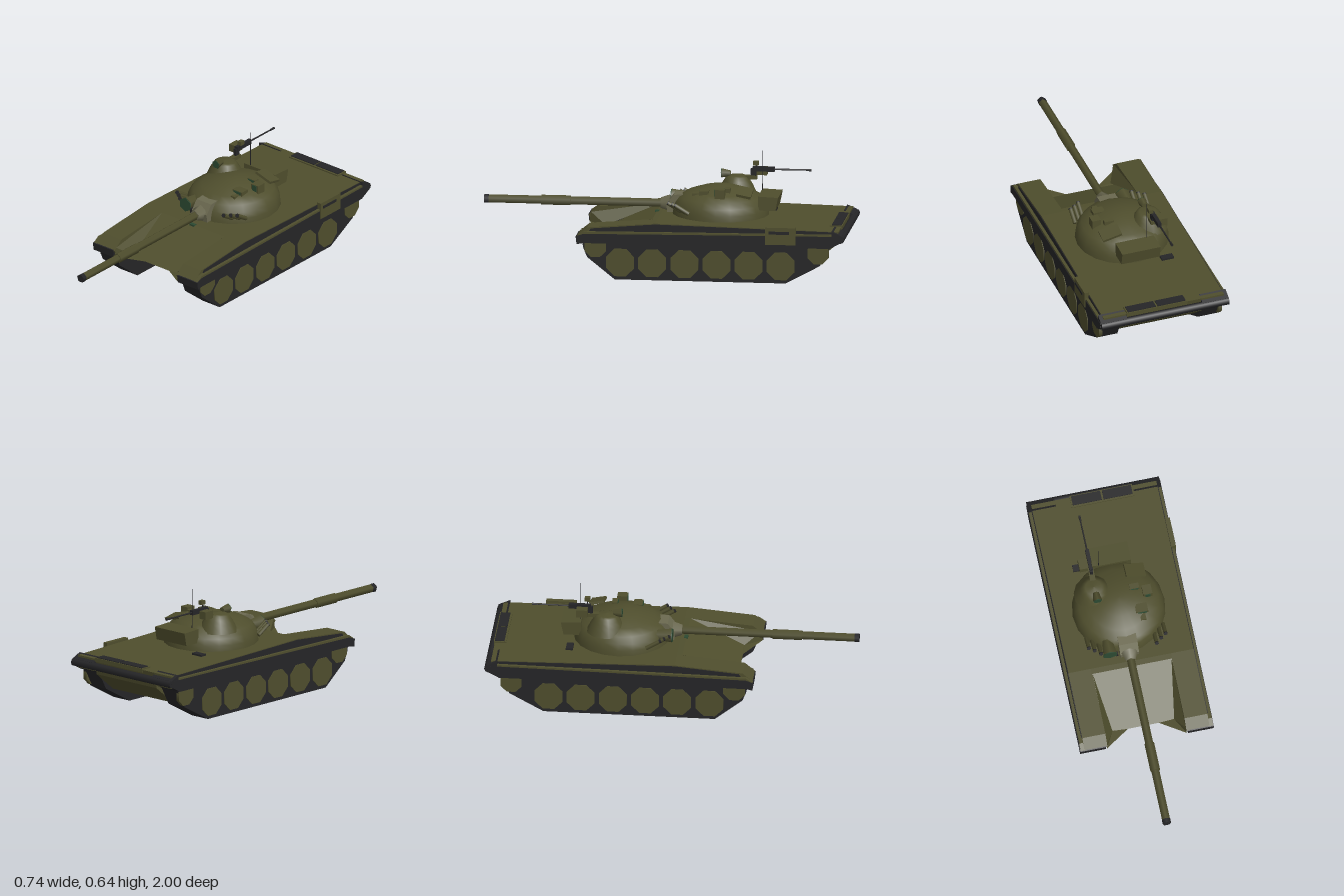
import * as THREE from 'three';

const mat = (name, color) => {
  const m = new THREE.MeshStandardMaterial({ color });
  m.name = name;
  return m;
};

export function createModel() {
  const olive = mat('olive', 0x4f4e2d);
  const dark = mat('charcoal', 0x252527);
  const khaki = mat('pale khaki', 0x6b6950);
  const green = mat('lens green', 0x2c4a32);
  const model = new THREE.Group();

  const add = (name, geo, material, parent = model) => {
    const m = new THREE.Mesh(geo, material);
    m.name = name;
    parent.add(m);
    return m;
  };
  // Side profile of [z, y] points, swept from xa to xb
  const prism = (name, pts, xa, xb, material) => {
    const shape = new THREE.Shape(pts.map(([z, y]) => new THREE.Vector2(z, y)));
    const geo = new THREE.ExtrudeGeometry(shape, { depth: Math.abs(xb - xa), bevelEnabled: false });
    geo.rotateY(-Math.PI / 2).translate(Math.max(xa, xb), 0, 0);
    return add(name, geo, material);
  };
  const box = (name, x, y, z, w, h, d, material) =>
    add(name, new THREE.BoxGeometry(w, h, d).translate(x, y, z), material);
  // Cylinder running along z, from z0 (radius r0) to z1 (radius r1), one corner up
  const rod = (name, x, y, z0, z1, r0, r1, sides, material) =>
    add(name, new THREE.CylinderGeometry(r1, r0, z1 - z0, sides, 1, false, Math.PI)
      .rotateX(Math.PI / 2).translate(x, y, (z0 + z1) / 2), material);
  const lathe = (pts, segments) =>
    new THREE.LatheGeometry(pts.map(([r, y]) => new THREE.Vector2(r, y)), segments);

  // Hull body with sloped nose and tail
  prism('hull', [[0.06, 0.31], [0.36, 0.177], [0.2, 0.095], [-0.82, 0.095],
    [-0.95, 0.2], [-0.965, 0.289], [0.03, 0.312]], -0.222, 0.222, olive);

  for (const s of [-1, 1]) {
    const side = s > 0 ? 'left' : 'right';
    // Fender, side wall, ledge and skirt
    prism(side + 'Fender', [[0.458, 0.235], [0.4, 0.282], [0.03, 0.312],
      [-0.965, 0.289], [-0.965, 0.22], [0.45, 0.22]], s * 0.218, s * 0.345, olive);
    prism(side + 'SideWall', [[0.39, 0.262], [0.38, 0.277], [0.03, 0.307],
      [-0.94, 0.287], [-0.96, 0.274]], s * 0.345, s * 0.349, dark);
    prism(side + 'Ledge', [[0.458, 0.236], [0.42, 0.262], [-0.1, 0.268], [-0.97, 0.276],
      [-0.97, 0.24], [0.4, 0.23]], s * 0.34, s * 0.365, olive);
    prism(side + 'Skirt', [[0.46, 0.236], [0.42, 0.25], [-0.1, 0.257], [-0.97, 0.267],
      [-0.985, 0.235], [-0.92, 0.2], [0.42, 0.2], [0.455, 0.193]], s * 0.226, s * 0.368, dark);

    // Cheek between nose and fender
    const A = [0.217, 0.311, 0.06], B = [0.217, 0.25, 0.445], C = [0.17, 0.188, 0.36];
    const D = [0.22, 0.198, 0.455], E = [0.085, 0.177, 0.36], F = [0.22, 0.178, 0.34];
    const tris = [A, C, B, C, D, B, E, D, C, E, F, D];
    const verts = tris.flatMap(([x, y, z]) => [s * x, y, z]);
    if (s < 0) {
      for (let i = 0; i < verts.length; i += 9) {
        const p = verts.slice(i + 3, i + 6);
        verts.splice(i + 3, 6, ...verts.slice(i + 6, i + 9), ...p);
      }
    }
    const cheek = new THREE.BufferGeometry();
    cheek.setAttribute('position', new THREE.Float32BufferAttribute(verts, 3));
    cheek.computeVertexNormals();
    const cheekMat = olive;
    cheekMat.side = THREE.DoubleSide;
    add(side + 'Cheek', cheek, cheekMat);

    // Track and wheels
    prism(side + 'Track', [[0.43, 0.22], [0.42, 0.17], [0.4, 0.12], [0.25, 0], [-0.68, 0],
      [-0.865, 0.1], [-0.92, 0.2], [-0.92, 0.22]], s * 0.231, s * 0.349, dark);
    const wheel = (name, z, y, r) => add(name,
      new THREE.CylinderGeometry(r, r, 0.02, 8, 1, false, Math.PI / 8)
        .rotateZ(Math.PI / 2).translate(s * 0.343, y, z), olive);
    for (let i = 0; i < 6; i++) wheel(side + 'RoadWheel', 0.22 - i * 0.1745, 0.094, 0.082);
    wheel(side + 'Idler', 0.355, 0.18, 0.064);
    wheel(side + 'Sprocket', -0.855, 0.168, 0.062);

    // Tail corner
    prism(side + 'TailCorner', [[-0.93, 0.294], [-0.985, 0.27], [-0.99, 0.235], [-0.93, 0.235]],
      s * 0.215, s * 0.366, dark);
  }

  // Side locker, tail log and engine grilles
  box('sideLocker', 0.359, 0.263, -0.653, 0.026, 0.094, 0.164, olive);
  box('lockerSlot', 0.372, 0.281, -0.645, 0.004, 0.016, 0.11, dark);
  add('tailLog', new THREE.CylinderGeometry(0.022, 0.022, 0.73, 8)
    .rotateZ(Math.PI / 2).translate(0, 0.25, -0.978), dark);
  box('grilleFrame', 0.04, 0.286, -0.937, 0.345, 0.022, 0.068, olive);
  for (const x of [-0.045, 0.125]) box('grille', x, 0.298, -0.94, 0.16, 0.006, 0.052, dark);
  box('deckVent', -0.165, 0.305, -0.555, 0.07, 0.01, 0.038, dark);
  box('driverPeriscope', 0, 0.308, 0.06, 0.032, 0.014, 0.02, green);

  // Turret dome
  const dome = lathe([[0.253, 0.305], [0.25, 0.335], [0.24, 0.37], [0.218, 0.403], [0.17, 0.43],
    [0.1, 0.453], [0.045, 0.466], [0, 0.467]], 20);
  add('turret', dome.scale(1, 1, 1.04).translate(-0.003, 0, -0.285), olive);
  prism('stowageBox', [[-0.5, 0.425], [-0.61, 0.42], [-0.595, 0.348], [-0.5, 0.348]], -0.11, 0.11, olive);

  // Commander's cupola with lamp
  const cupola = lathe([[0.108, 0.395], [0.088, 0.44], [0.072, 0.465], [0.06, 0.485],
    [0.045, 0.492], [0, 0.498]], 14);
  add('cupola', cupola.translate(-0.125, 0, -0.36), olive);
  rod('cupolaLamp', -0.12, 0.502, -0.325, -0.278, 0.016, 0.026, 5, olive);
  rod('cupolaLens', -0.12, 0.502, -0.278, -0.274, 0.025, 0.025, 5, green);

  // Mantlet and main gun
  const gx = -0.003, gy = 0.355;
  prism('mantlet', [[0, 0.315], [0.004, 0.36], [-0.035, 0.411], [-0.13, 0.416], [-0.13, 0.315]],
    -0.053, 0.05, khaki);
  rod('gunCollar', gx, gy, -0.01, 0.04, 0.047, 0.03, 5, khaki);
  rod('barrel', gx, gy, 0, 0.98, 0.023, 0.023, 5, olive);
  rod('barrelSleeve', gx, gy, 0.53, 0.69, 0.028, 0.028, 5, olive);
  rod('muzzle', gx, gy, 0.975, 1, 0.0245, 0.0245, 5, dark);
  box('coaxialPort', -0.069, 0.346, -0.015, 0.012, 0.026, 0.02, dark);

  // Searchlight
  rod('searchlight', -0.107, 0.37, -0.1, -0.008, 0.028, 0.042, 6, olive);
  rod('searchlightLens', -0.107, 0.37, -0.008, -0.003, 0.041, 0.041, 6, green);

  // Smoke launchers, tilted up
  for (const [x, z] of [[-0.213, -0.1], [-0.185, -0.08], [-0.155, -0.055],
    [0.152, -0.055], [0.182, -0.08], [0.21, -0.1]]) {
    const launcher = new THREE.Group();
    launcher.name = 'smokeLauncher';
    launcher.position.set(x, 0.363, z);
    launcher.rotation.x = Math.PI / 2 - 0.55;
    add('launcherTube', new THREE.CylinderGeometry(0.0115, 0.0115, 0.085, 6), olive, launcher);
    add('launcherMouth', new THREE.CylinderGeometry(0.0115, 0.0115, 0.006, 6)
      .translate(0, 0.045, 0), dark, launcher);
    model.add(launcher);
  }

  // Gunner's sights and hatch
  box('gunnerSight', 0.156, 0.444, -0.3, 0.05, 0.052, 0.055, olive);
  box('gunnerSightLens', 0.156, 0.45, -0.271, 0.028, 0.034, 0.004, green);
  box('rearSight', 0.092, 0.452, -0.335, 0.052, 0.026, 0.03, olive);
  box('rearSightLens', 0.092, 0.456, -0.319, 0.042, 0.012, 0.004, green);
  box('frontSight', 0.107, 0.437, -0.21, 0.066, 0.032, 0.05, olive);
  box('frontSightLens', 0.107, 0.442, -0.184, 0.05, 0.016, 0.004, green);
  box('frontSightFoot', 0.107, 0.424, -0.165, 0.03, 0.024, 0.04, olive);
  const hatch = box('gunnerHatch', 0, 0, 0, 0.11, 0.014, 0.08, olive);
  hatch.position.set(0.115, 0.447, -0.43);
  hatch.rotation.set(-0.2, 0, -0.25);

  // Roof machine gun, trained to the rear
  rod('gunBarrel', -0.12, 0.53, -0.74, -0.56, 0.004, 0.005, 6, dark);
  rod('gunMuzzle', -0.12, 0.53, -0.765, -0.735, 0.007, 0.006, 6, dark);
  box('gunReceiver', -0.12, 0.53, -0.505, 0.02, 0.026, 0.12, dark);
  box('gunMount', -0.12, 0.507, -0.45, 0.016, 0.05, 0.03, dark);
  box('gunCradle', -0.12, 0.483, -0.435, 0.03, 0.02, 0.07, olive);
  box('ammoBox', -0.158, 0.513, -0.49, 0.045, 0.042, 0.06, olive);
  box('gunSight', -0.102, 0.566, -0.465, 0.024, 0.022, 0.03, olive);
  box('gunSightPost', -0.11, 0.547, -0.465, 0.006, 0.03, 0.006, dark);

  // Aerial
  add('aerial', new THREE.CylinderGeometry(0.0012, 0.0022, 0.235, 5)
    .translate(-0.068, 0.525, -0.505), dark);

  return model;
}
